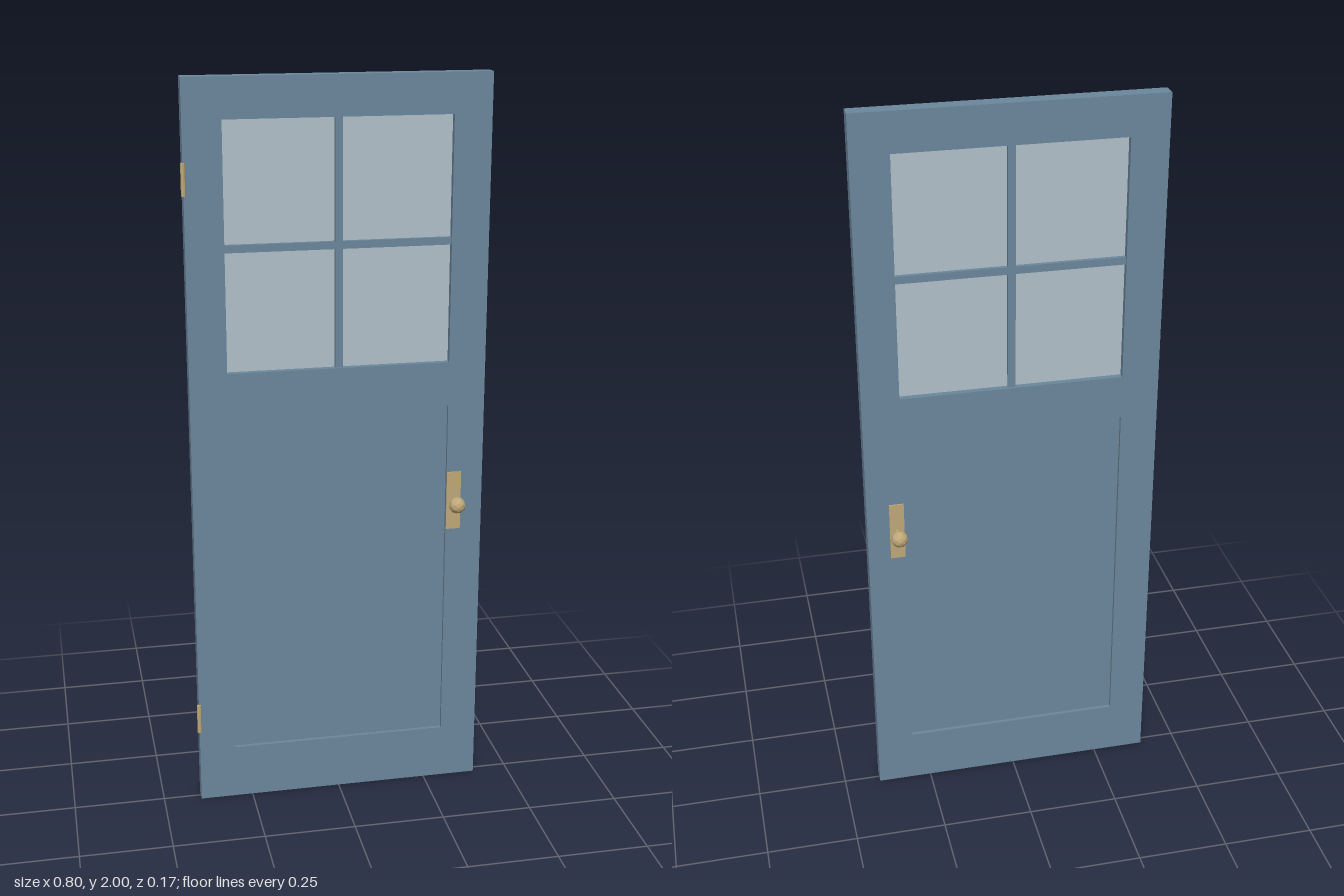
import * as THREE from 'three';

export function createModel() {
  const door = new THREE.Group();
  door.name = 'door';
  const paint = new THREE.MeshStandardMaterial({ name: 'blue paint', color: 0x6b879c });
  const glass = new THREE.MeshStandardMaterial({ name: 'pale glass', color: 0xb0c0c8 });
  const brass = new THREE.MeshStandardMaterial({ name: 'brass', color: 0xbfa878 });
  brass.flatShading = true;

  const add = (name, geometry, material, x, y, z, parent = door) => {
    const mesh = new THREE.Mesh(geometry, material);
    mesh.name = name;
    mesh.position.set(x, y, z);
    parent.add(mesh);
    return mesh;
  };
  const rectangle = (PathType, x0, y0, x1, y1) => new PathType([
    [x0, y0], [x1, y0], [x1, y1], [x0, y1],
  ].map(([x, y]) => new THREE.Vector2(x, y)));

  // Frame with window and panel openings
  const left = -0.296, right = 0.3, mid = 0.002, width = right - left;
  const frame = rectangle(THREE.Shape, -0.396, 0, 0.4, 2);
  frame.holes.push(
    rectangle(THREE.Path, left, 1.243, right, 1.895),
    rectangle(THREE.Path, left, 0.153, right, 1.123),
  );
  const frameGeometry = new THREE.ExtrudeGeometry(frame, { depth: 0.042, bevelEnabled: false });
  add('frame', frameGeometry, paint, 0, 0, -0.021);

  // Recessed lower panel, window glass and glazing bars
  add('lowerPanel', new THREE.BoxGeometry(width, 0.97, 0.022), paint, mid, 0.638, 0);
  add('windowGlass', new THREE.BoxGeometry(width, 0.652, 0.008), glass, mid, 1.569, 0);
  add('verticalBar', new THREE.BoxGeometry(0.02, 0.652, 0.03), paint, mid, 1.569, 0);
  add('horizontalBar', new THREE.BoxGeometry(width, 0.02, 0.03), paint, mid, 1.569, 0);

  // Knob sets on both faces
  for (const side of [1, -1]) {
    const handle = new THREE.Group();
    handle.name = side > 0 ? 'frontHandle' : 'backHandle';
    handle.position.set(0.32, 0.85, 0);
    door.add(handle);
    add('backplate', new THREE.BoxGeometry(0.04, 0.165, 0.005), brass, 0, 0, side * 0.0225, handle);
    const stem = add('stem', new THREE.CylinderGeometry(0.007, 0.007, 0.035, 8), brass, 0, 0, side * 0.04, handle);
    stem.rotation.x = Math.PI / 2;
    add('knob', new THREE.IcosahedronGeometry(0.023, 1), brass, 0, 0, side * 0.064, handle);
  }

  // Hinge barrels
  for (const y of [0.253, 1.75]) {
    add('hinge', new THREE.CylinderGeometry(0.006, 0.006, 0.083, 8), brass, -0.396, y, 0.022);
  }
  return door;
}
